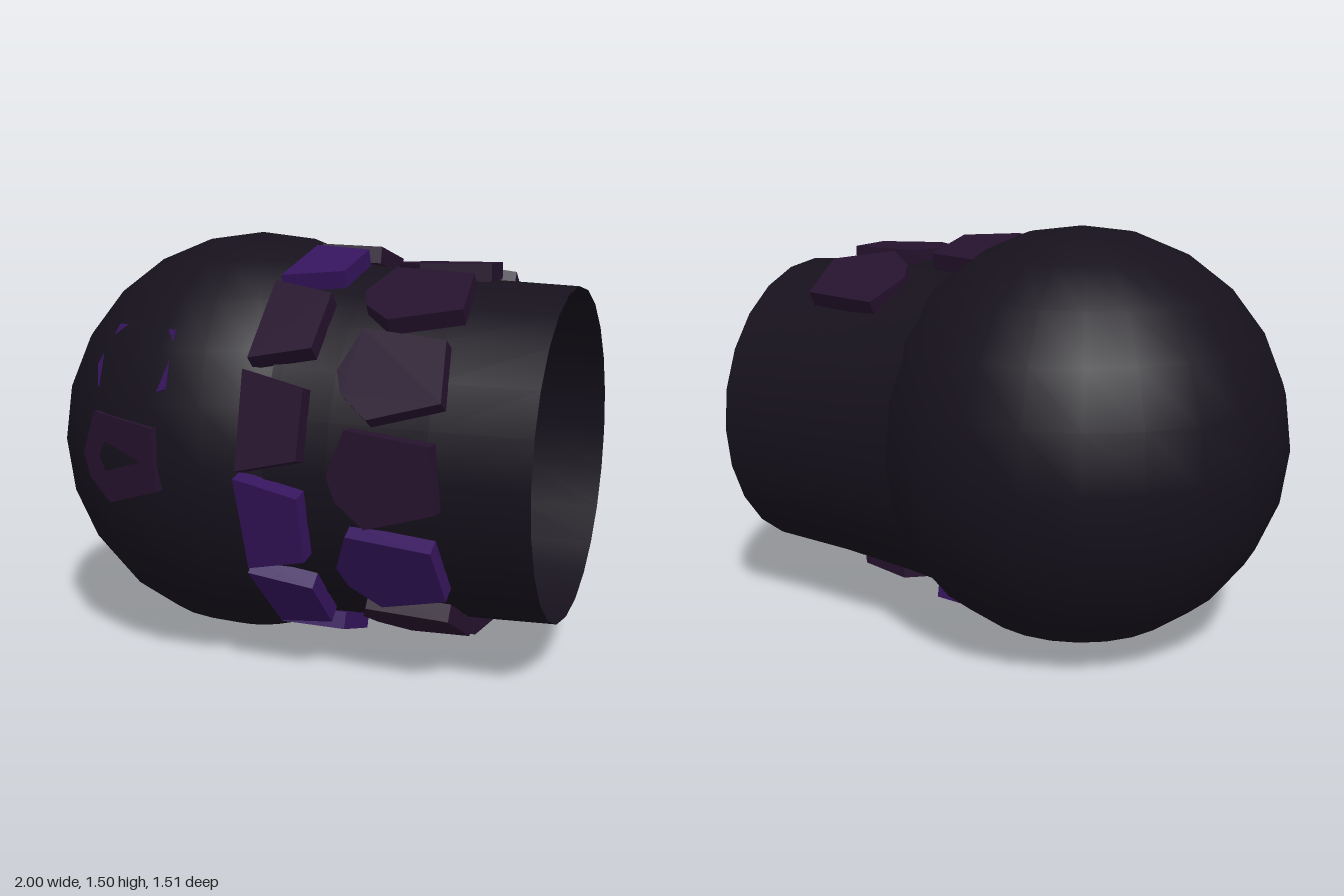
import * as THREE from 'three';

const DARK = 0x16111c, DIM = 0x25122d, BRIGHT = 0x35145c;
const deg = THREE.MathUtils.degToRad;

// Plate outlines: x runs along the sleeve, y around it
const SHIELD = [[-0.18, 0], [-0.12, 0.15], [0.16, 0.12], [0.18, -0.09], [-0.05, -0.16], [-0.15, -0.08]];
const WEDGE = [[-0.11, 0.16], [0.11, 0.11], [0.11, -0.12], [-0.1, -0.17]];

// One flat plate whose outer face lies at the given distance from the axis
function plate(name, outline, angle, along, distance, color, tilt = 0) {
  const shape = new THREE.Shape(outline.map(([x, y]) => new THREE.Vector2(x, y)));
  const geometry = new THREE.ExtrudeGeometry(shape, { depth: 0.06, bevelEnabled: false });
  geometry.translate(0, 0, distance - 0.06);
  geometry.rotateY(tilt);
  geometry.translate(along, 0, 0);
  geometry.rotateX(-deg(angle));
  const mesh = new THREE.Mesh(geometry, new THREE.MeshStandardMaterial({ color, flatShading: true }));
  mesh.name = name;
  return mesh;
}

export function createModel() {
  const model = new THREE.Group();
  const dark = new THREE.MeshStandardMaterial({ color: DARK, side: THREE.DoubleSide });

  // Round closed end
  const dome = new THREE.Mesh(new THREE.SphereGeometry(0.752, 24, 12), dark);
  dome.name = 'dome';
  dome.position.set(-0.25, 0.752, 0);
  model.add(dome);

  // Open sleeve, slightly turned towards the back
  const arm = new THREE.Group();
  arm.name = 'arm';
  arm.position.set(0.125, 0.752, 0.005);
  arm.rotation.y = 0.085;
  model.add(arm);
  const profile = [[0.655, -0.03], [0.65, 0], [0.624, 0.18], [0.593, 0.5], [0.575, 0.825]];
  const sleeveGeometry = new THREE.LatheGeometry(profile.map(([r, y]) => new THREE.Vector2(r, y)), 24);
  sleeveGeometry.rotateZ(-Math.PI / 2);
  const sleeve = new THREE.Mesh(sleeveGeometry, dark);
  sleeve.name = 'sleeve';
  arm.add(sleeve);

  // Two rows of plates over the front half
  const inner = [[102, DIM], [73, BRIGHT], [44, DIM], [14, DIM], [-15, BRIGHT], [-44, BRIGHT], [-73, BRIGHT], [-102, BRIGHT]];
  for (const [angle, color] of inner) arm.add(plate('innerRowPlate', WEDGE, angle, 0, 0.69, color));
  const outer = [[119, DIM], [90, DIM], [60, DIM], [30, DIM], [0, DIM], [-30, BRIGHT], [-60, DIM], [-91, DIM]];
  for (const [angle, color] of outer) arm.add(plate('outerRowPlate', SHIELD, angle, 0.37, 0.648, color));

  // Plates sunk into the front of the dome, so only their corners stand out
  const sunk = [[26, 0.724, BRIGHT], [0, 0.742, DIM], [-26, 0.717, DIM]];
  for (const [angle, distance, color] of sunk) {
    const mesh = plate('domePlate', SHIELD, angle, 0, distance, color, -0.17);
    mesh.position.copy(dome.position);
    model.add(mesh);
  }
  return model;
}
